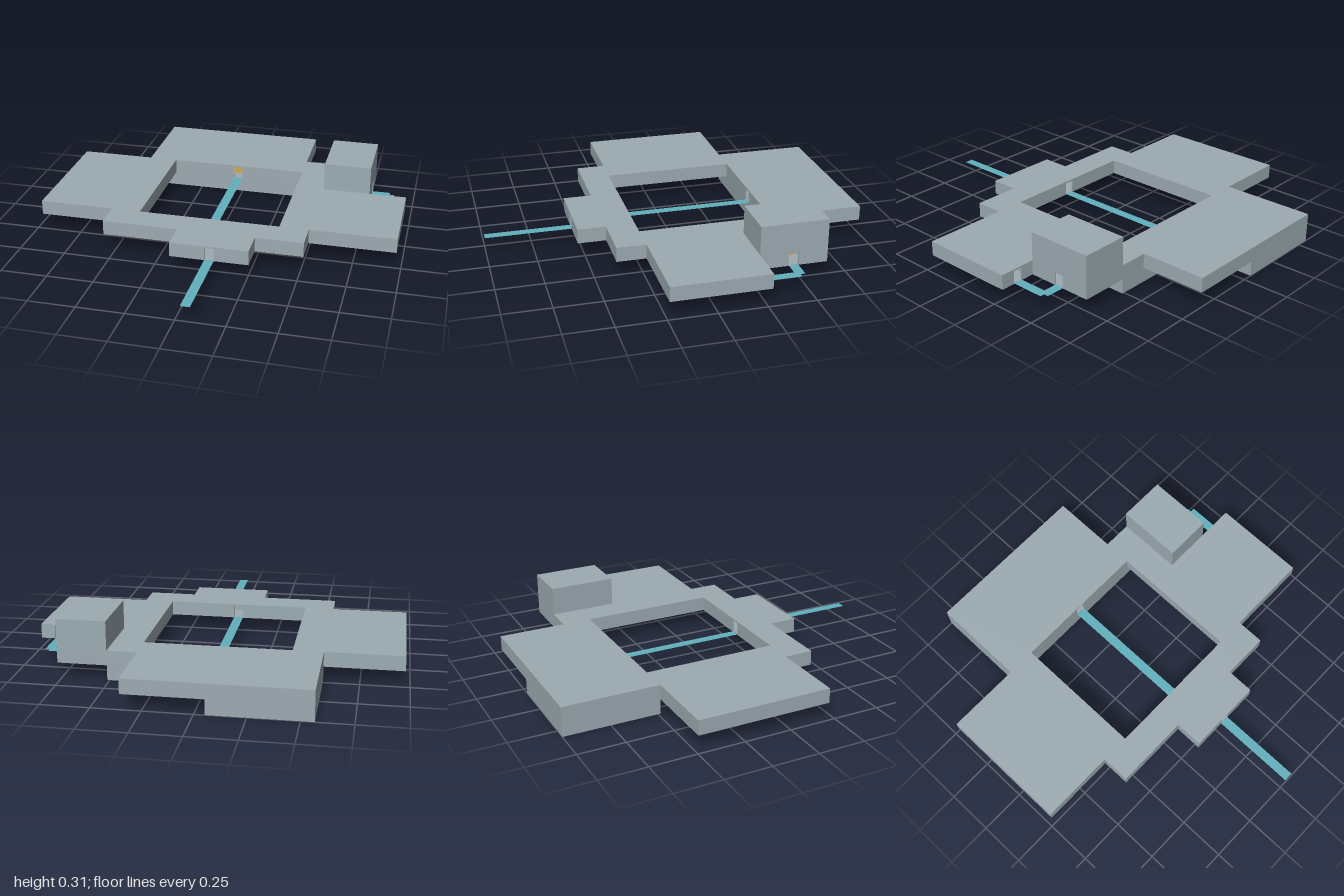
import * as THREE from 'three';

const stone = new THREE.MeshStandardMaterial({ color: 0x9cabb2 });
stone.name = 'grey wall';
const teal = new THREE.MeshStandardMaterial({ color: 0x60b0bd, side: THREE.DoubleSide });
teal.name = 'teal path';
const tan = new THREE.MeshStandardMaterial({ color: 0xd9a658, side: THREE.DoubleSide });
tan.name = 'tan door';

// Plan coordinates are [x, z]
const toPoints = (plan) => plan.map(([x, z]) => new THREE.Vector2(x, -z));

// Opening from p to q through a thin wall into a wider room, solid on the right hand
function doorway([px, pz], [qx, qz], depth, widen) {
  const length = Math.hypot(qx - px, qz - pz);
  const dx = (qx - px) / length, dz = (qz - pz) / length;
  const wall = 0.008;
  const at = (x, z, inward, along) => [x - dz * inward + dx * along, z + dx * inward + dz * along];
  return [
    [px, pz], at(px, pz, wall, 0), at(px, pz, wall, -widen), at(px, pz, depth, -widen),
    at(qx, qz, depth, widen), at(qx, qz, wall, widen), at(qx, qz, wall, 0), [qx, qz],
  ];
}

export function createModel() {
  const group = new THREE.Group();

  // Extrude a floor plan upward between two heights
  function storey(name, plan, hole, y0, y1) {
    const shape = new THREE.Shape(toPoints(plan));
    if (hole) shape.holes.push(new THREE.Path(toPoints(hole)));
    const geo = new THREE.ExtrudeGeometry(shape, { depth: y1 - y0, bevelEnabled: false });
    geo.rotateX(-Math.PI / 2).translate(0, y0, 0);
    const mesh = new THREE.Mesh(geo, stone);
    mesh.name = name;
    group.add(mesh);
  }

  function box(name, mat, x0, x1, y0, y1, z0, z1) {
    const mesh = new THREE.Mesh(new THREE.BoxGeometry(x1 - x0, y1 - y0, z1 - z0), mat);
    mesh.position.set((x0 + x1) / 2, (y0 + y1) / 2, (z0 + z1) / 2);
    mesh.name = name;
    group.add(mesh);
  }

  // Main storey outline; the flag cuts the doorways and the rooms behind them
  const outline = (doors) => [
    [-0.567, -1], [0.355, -1], [0.355, -0.64], [0.77, -0.64],
    ...(doors ? doorway([0.77, -0.485], [0.77, -0.433], 0.11, 0.1) : []),
    [0.77, -0.282],
    ...(doors ? doorway([0.845, -0.282], [0.895, -0.282], 0.13, 0.05) : []),
    [0.972, -0.282], [0.972, 0.232], [0.512, 0.232], [0.512, 0.387], [0.257, 0.387], [0.257, 0.538],
    ...(doors ? doorway([0.077, 0.538], [0.027, 0.538], 0.13, 0.09) : []),
    [-0.158, 0.538], [-0.158, 0.387], [-0.567, 0.387], [-0.567, 0.232],
    [-0.975, 0.232], [-0.975, -0.485], [-0.567, -0.485],
  ];
  const courtyard = (doors) => [
    [-0.41, -0.485], [-0.41, 0.232],
    ...(doors ? doorway([-0.053, 0.232], [-0.002, 0.232], 0.13, 0.12) : []),
    [0.355, 0.232], [0.355, -0.485],
    ...(doors ? doorway([-0.002, -0.485], [-0.053, -0.485], 0.07, 0.1) : []),
  ];
  storey('mainFloor', outline(false), courtyard(false), 0.079, 0.083);
  storey('mainWalls', outline(true), courtyard(true), 0.083, 0.148);
  storey('mainRoof', outline(false), courtyard(false), 0.148, 0.158);

  // Lower rooms beneath the back wing
  storey('lowerRooms', [
    [-0.567, -1], [-0.053, -1], [-0.053, -0.64], [0.512, -0.64], [0.512, -0.485], [-0.567, -0.485],
  ], null, 0, 0.079);

  // Raised room
  box('upperRoom', stone, 0.512, 0.77, 0.158, 0.312, -0.64, -0.282);

  // Doors at the back of two rooms, and a sill under the lower rooms
  box('sideDoor', tan, 0.66, 0.666, 0.083, 0.148, -0.5, -0.36);
  box('courtyardDoor', tan, -0.13, -0.002, 0.083, 0.148, -0.555, -0.549);
  box('lowerDoorSill', tan, -0.44, -0.39, -0.0005, 0.002, -0.59, -0.565);

  // Flat paths
  function path(name, plan) {
    const geo = new THREE.ShapeGeometry(new THREE.Shape(toPoints(plan)));
    geo.rotateX(-Math.PI / 2).translate(0, 0.081, 0);
    const mesh = new THREE.Mesh(geo, teal);
    mesh.name = name;
    group.add(mesh);
  }
  path('frontPath', [[0.027, 0.538], [0.077, 0.538], [0.077, 1], [0.027, 1]]);
  path('courtyardPath', [[-0.053, -0.485], [-0.002, -0.485], [-0.002, 0.232], [-0.053, 0.232]]);
  path('sidePath', [
    [0.77, -0.485], [0.87, -0.485], [0.87, -0.46], [0.895, -0.46],
    [0.895, -0.282], [0.845, -0.282], [0.845, -0.435], [0.77, -0.435],
  ]);
  return group;
}
